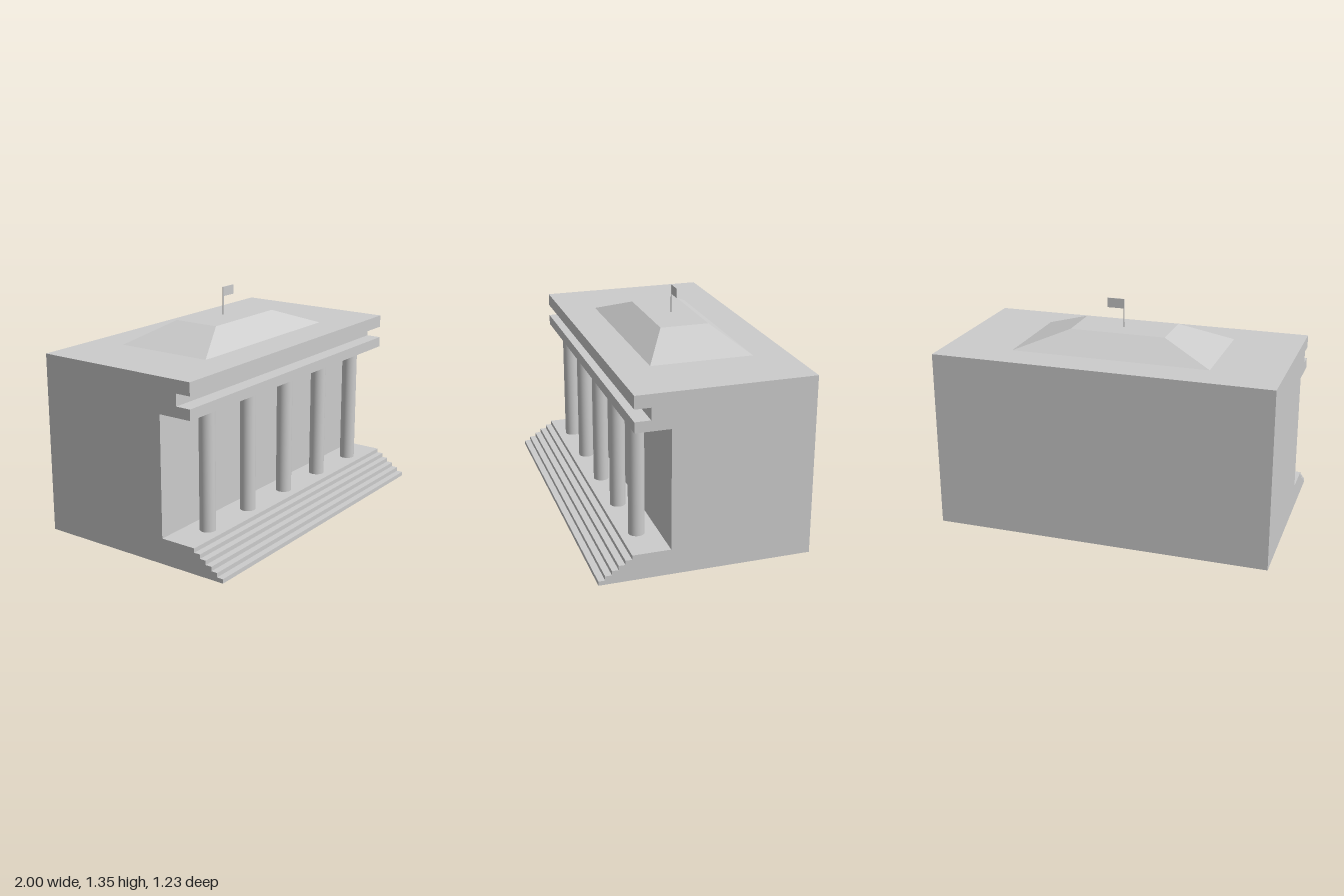
import * as THREE from 'three';

const material = new THREE.MeshStandardMaterial({ color: 0xcccccc });
const WIDTH = 2, BACK = -0.617, WALL_FRONT = 0.207, CORNICE_FRONT = 0.411;
const BASE_TOP = 0.151, WALL_TOP = 0.858, DECK = 1.065;

function part(parent, name, geometry, x = 0, y = 0, z = 0) {
  const mesh = new THREE.Mesh(geometry, material);
  mesh.name = name;
  mesh.position.set(x, y, z);
  parent.add(mesh);
  return mesh;
}

// Sweeps a side outline of [z, y] points across the full width
function sweep(outline) {
  const shape = new THREE.Shape(outline.map(([z, y]) => new THREE.Vector2(z, y)));
  const geometry = new THREE.ExtrudeGeometry(shape, { depth: WIDTH, bevelEnabled: false });
  return geometry.translate(0, 0, -WIDTH / 2).rotateY(-Math.PI / 2);
}

// Box whose top corners are moved to a smaller rectangle
function hipRoof(base, top, height) {
  const geometry = new THREE.BoxGeometry(1, 1, 1);
  const p = geometry.attributes.position;
  for (let i = 0; i < p.count; i++) {
    const upper = p.getY(i) > 0;
    const { halfX, front, back } = upper ? top : base;
    p.setXYZ(i, Math.sign(p.getX(i)) * halfX, upper ? height : 0, p.getZ(i) > 0 ? front : back);
  }
  const flat = geometry.toNonIndexed();
  flat.computeVertexNormals();
  return flat;
}

export function createModel() {
  const model = new THREE.Group();
  model.name = 'columnedHall';

  // Base with six front steps
  const steps = 6, rise = BASE_TOP / steps, tread = 0.038;
  const outline = [[BACK, 0], [-BACK, 0]];
  for (let i = 0; i < steps; i++) {
    const z = -BACK - i * tread;
    outline.push([z, (i + 1) * rise]);
    if (i < steps - 1) outline.push([z - tread, (i + 1) * rise]);
  }
  outline.push([BACK, BASE_TOP]);
  part(model, 'steppedBase', sweep(outline));

  // Main hall behind the porch
  part(model, 'hallWalls', sweep([
    [BACK, BASE_TOP], [WALL_FRONT, BASE_TOP], [WALL_FRONT, WALL_TOP], [BACK, WALL_TOP],
  ]));

  // Entablature with a recessed frieze along the front
  part(model, 'entablature', sweep([
    [BACK, WALL_TOP], [CORNICE_FRONT, WALL_TOP], [CORNICE_FRONT, 0.92], [0.32, 0.92],
    [0.32, 0.99], [CORNICE_FRONT, 0.99], [CORNICE_FRONT, DECK], [BACK, DECK],
  ]));

  // Porch columns
  const columns = new THREE.Group();
  columns.name = 'columns';
  model.add(columns);
  const columnHeight = WALL_TOP - BASE_TOP;
  const columnGeometry = new THREE.CylinderGeometry(0.046, 0.046, columnHeight, 32);
  for (const x of [-0.755, -0.375, 0, 0.375, 0.755]) {
    part(columns, 'column', columnGeometry, x, BASE_TOP + columnHeight / 2, 0.331);
  }

  // Flat-topped hip roof
  const roofHeight = 0.113;
  part(model, 'hipRoof', hipRoof(
    { halfX: 0.59, front: 0.198, back: -0.407 },
    { halfX: 0.285, front: 0.04, back: -0.25 },
    roofHeight,
  ), 0, DECK, 0);

  // Flagpole and flag
  const poleBottom = DECK + roofHeight, poleTop = 1.347, flagZ = -0.12;
  part(model, 'flagpole', new THREE.CylinderGeometry(0.004, 0.004, poleTop - poleBottom, 12),
    0, (poleBottom + poleTop) / 2, flagZ);
  part(model, 'flag', new THREE.BoxGeometry(0.1, 0.057, 0.004), 0.05, poleTop - 0.0285, flagZ);

  return model;
}
